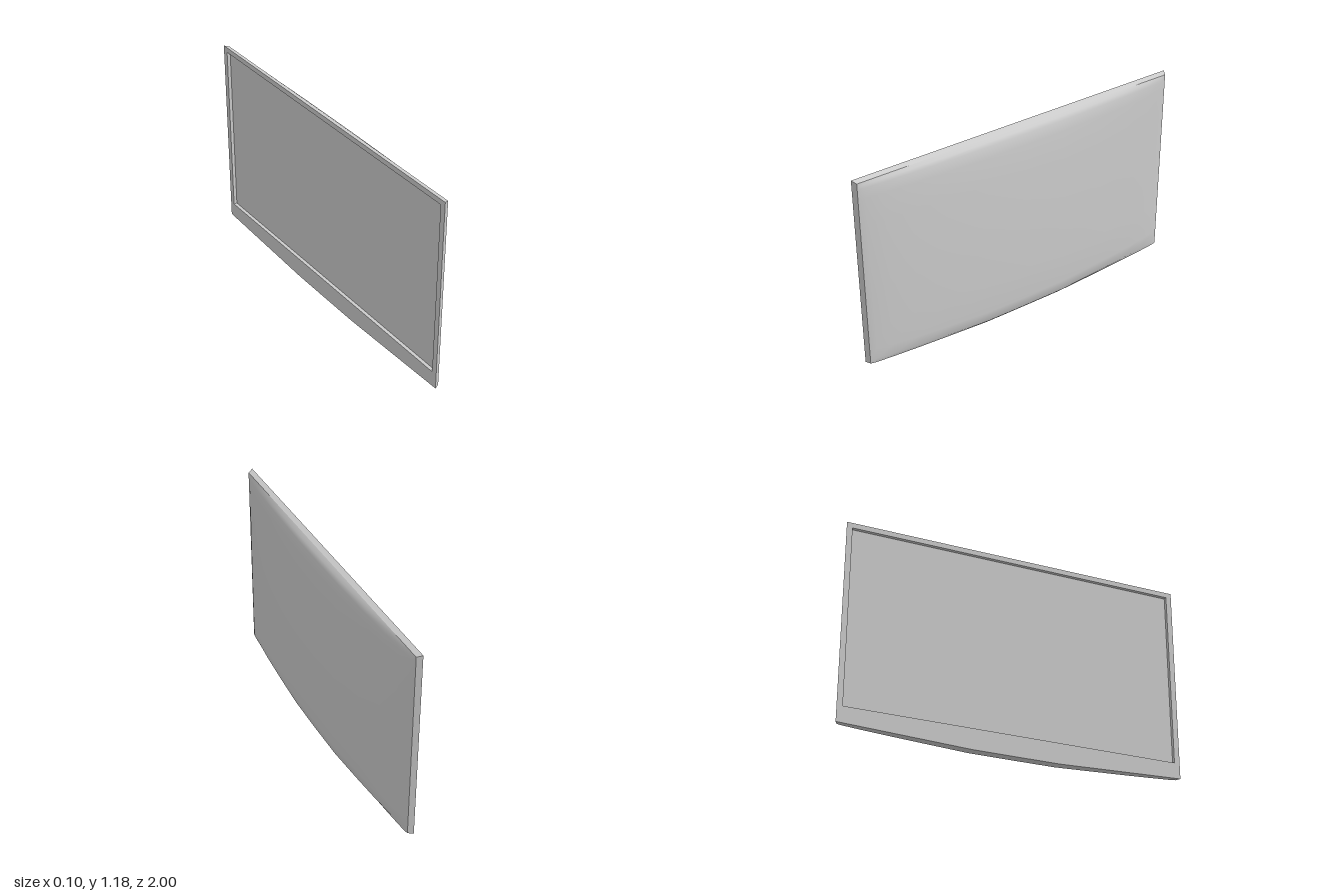
import * as THREE from 'three';

const FRONT = -0.05, EDGE = -0.02, TOP = 1.175, HALF = 0.985;
// Bulge of the back shell: [height, x] up the middle, [z, x] from centre to side
const RISE = [[0, 0.007], [0.03, 0.037], [0.1, 0.05], [0.3, 0.05], [0.5, 0.049], [0.7, 0.044],
  [0.92, 0.035], [1.08, 0.025], [1.14, 0.013], [1.16, 0], [TOP, EDGE]];
const SIDE = [[0, 0.05], [0.25, 0.048], [0.5, 0.036], [0.7, 0.023], [0.85, 0.008], [0.95, -0.007], [HALF, EDGE]];
const SPAN = [...SIDE.slice(1).reverse().map(([z, x]) => [-z, x]), ...SIDE];

// Lower edge: flat in the middle, rising towards both sides
const lowerEdge = (z) => 0.03 * Math.max(0, (Math.abs(z) / HALF - 0.25) / 0.75);

const shellPoint = ([z, side], [h, rise]) => {
  const low = lowerEdge(z);
  return new THREE.Vector3(EDGE + (rise - EDGE) * (side - EDGE) / (0.05 - EDGE), low + h * (TOP - low) / TOP, z);
};

function makeMesh(name, geometry) {
  const mesh = new THREE.Mesh(geometry, new THREE.MeshStandardMaterial({ color: 0xcccccc }));
  mesh.name = name;
  return mesh;
}

// Flat-faced band joining two closed rings
function band(a, b) {
  const pts = [];
  a.forEach((p, k) => {
    const n = (k + 1) % a.length;
    pts.push(p, b[k], a[n], a[n], b[k], b[n]);
  });
  const geometry = new THREE.BufferGeometry().setFromPoints(pts);
  geometry.computeVertexNormals();
  return geometry;
}

// Flat panel facing -x, outlined by a ring, with an optional opening
function panel(ring, hole, x) {
  const flat = (r) => r.map((p) => new THREE.Vector2(p.z, p.y));
  const shape = new THREE.Shape(flat(ring));
  if (hole) shape.holes.push(new THREE.Path(flat(hole)));
  return new THREE.ShapeGeometry(shape).rotateY(-Math.PI / 2).translate(x, 0, 0);
}

export function createModel() {
  const group = new THREE.Group();
  group.name = 'flatScreen';

  // Smooth bulging back shell
  const rows = RISE.length, cols = SPAN.length;
  const pts = [], index = [];
  SPAN.forEach((s) => RISE.forEach((r) => pts.push(shellPoint(s, r))));
  for (let i = 0; i < cols - 1; i++) {
    for (let j = 0; j < rows - 1; j++) {
      const a = i * rows + j, b = a + rows;
      index.push(a, a + 1, b, b, a + 1, b + 1);
    }
  }
  const shell = new THREE.BufferGeometry().setFromPoints(pts);
  shell.setIndex(index);
  shell.computeVertexNormals();
  group.add(makeMesh('backShell', shell));

  // Perimeter: along the bottom, up one side, back along the top, down the other
  const backRing = [];
  for (let i = 0; i < cols - 1; i++) backRing.push(pts[i * rows]);
  for (let j = 0; j < rows - 1; j++) backRing.push(pts[(cols - 1) * rows + j]);
  for (let i = cols - 1; i > 0; i--) backRing.push(pts[i * rows + rows - 1]);
  for (let j = rows - 1; j > 0; j--) backRing.push(pts[j]);
  const frontRing = backRing.map((p) => {
    const low = lowerEdge(p.z);
    return new THREE.Vector3(FRONT, low + (p.y - low) * (1.185 - low) / (TOP - low), p.z / HALF);
  });
  group.add(makeMesh('rim', band(frontRing, backRing)));

  // Bezel, recess walls and screen
  const opening = (x) => [[-0.967, 0.12], [0.967, 0.12], [0.967, 1.155], [-0.967, 1.155]]
    .map(([z, y]) => new THREE.Vector3(x, y, z));
  const lip = opening(FRONT), deep = opening(-0.03);
  group.add(makeMesh('bezel', panel(frontRing, lip, FRONT)));
  group.add(makeMesh('recessWalls', band(deep, lip)));
  group.add(makeMesh('screen', panel(deep, null, -0.03)));
  return group;
}
